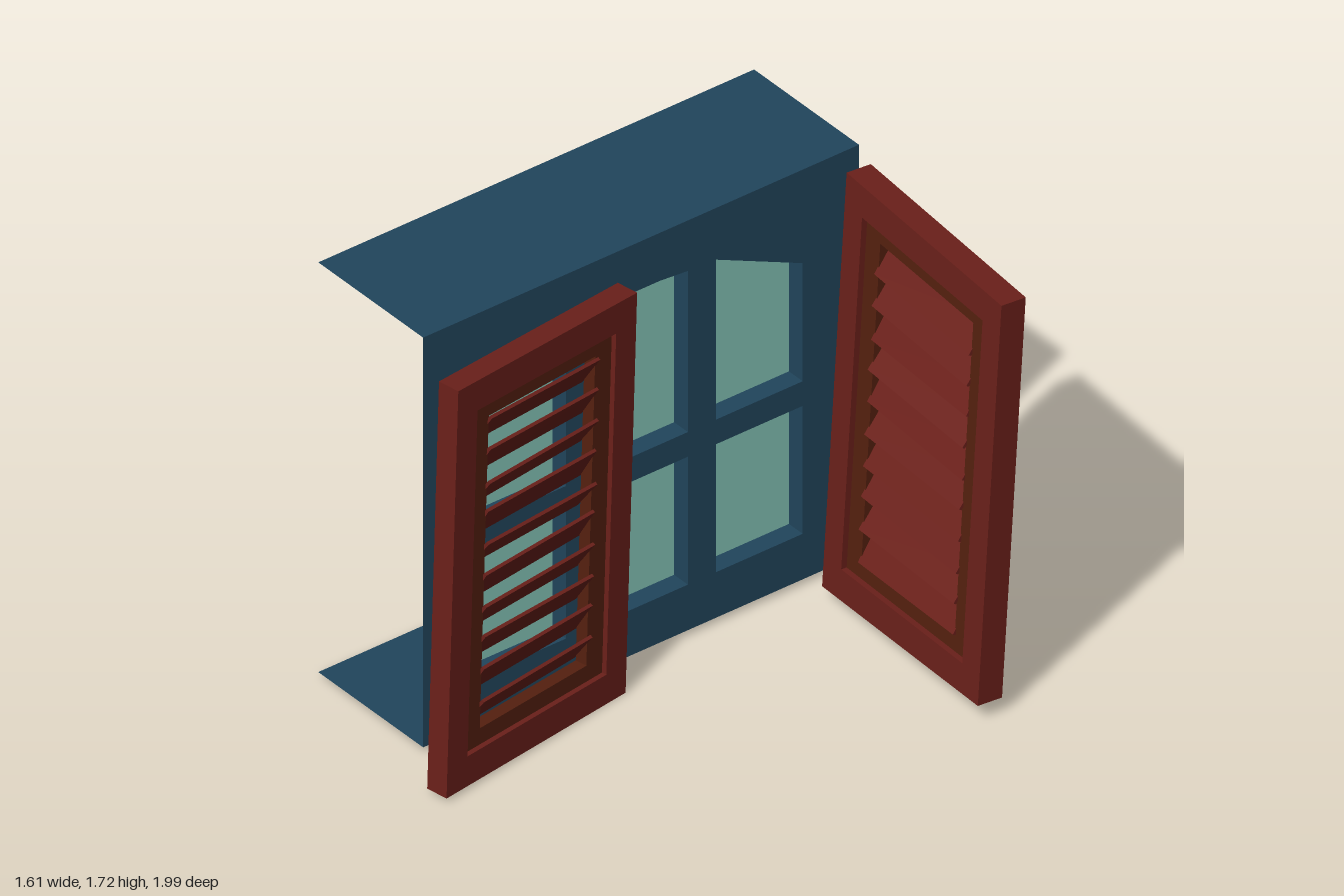
import * as THREE from 'three';

const paint = (color) => new THREE.MeshStandardMaterial({ color, side: THREE.DoubleSide });
const BLUE = paint(0x21455c), GLASS = paint(0x86c6b8), RED = paint(0x6b201a), BROWN = paint(0x55200f);
RED.flatShading = BROWN.flatShading = true;

const add = (parent, name, geometry, material) => {
  const mesh = new THREE.Mesh(geometry, material);
  mesh.name = name;
  parent.add(mesh);
  return mesh;
};

const outline = (points) => points.map(([x, y]) => new THREE.Vector2(x, y));
const rect = (w, h) => outline([[-w / 2, -h / 2], [w / 2, -h / 2], [w / 2, h / 2], [-w / 2, h / 2]]);

// Open band running round an outline, from z = 0 back to z = -depth
function band(points, depth) {
  const pos = [];
  points.forEach((a, i) => {
    const b = points[(i + 1) % points.length];
    pos.push(a.x, a.y, 0, b.x, b.y, -depth, b.x, b.y, 0, a.x, a.y, 0, a.x, a.y, -depth, b.x, b.y, -depth);
  });
  const g = new THREE.BufferGeometry();
  g.setAttribute('position', new THREE.Float32BufferAttribute(pos, 3));
  g.computeVertexNormals();
  return g;
}

// Window wall, drawn in its own plane and turned to face +x (local x runs along -z)
function buildWindow() {
  const win = new THREE.Group();
  win.name = 'window';
  const left = -0.86, right = 1, bottom = 0.035, top = 1.7, reveal = 0.075, mid = 0.07;
  const panes = [];
  // Lower row of plain panes
  for (const [a, b] of [[-0.55, -0.18], [-0.2, 0.2], [0.32, 0.69]]) {
    const [x0, x1] = a === -0.55 ? [-0.69, -0.32] : [a, b];
    panes.push(outline([[mid + x0, 0.22], [mid + x1, 0.22], [mid + x1, 0.74], [mid + x0, 0.74]]));
  }
  // Upper row: outer panes with sloping heads, middle pane slightly arched
  for (const s of [-1, 1]) {
    panes.push(outline([[mid + s * 0.32, 0.84], [mid + s * 0.69, 0.84], [mid + s * 0.69, 1.32], [mid + s * 0.32, 1.49]]));
  }
  panes.push(outline([[mid - 0.2, 0.84], [mid + 0.2, 0.84], [mid + 0.2, 1.495], [mid + 0.08, 1.505], [mid - 0.08, 1.505], [mid - 0.2, 1.495]]));

  const wall = new THREE.Shape(outline([[left, bottom], [right, bottom], [right, top], [left, top]]));
  panes.forEach((p) => wall.holes.push(new THREE.Path(p)));
  add(win, 'wall', new THREE.ShapeGeometry(wall), BLUE);
  for (const p of panes) {
    add(win, 'paneReveal', band(p, reveal), BLUE);
    add(win, 'glass', new THREE.ShapeGeometry(new THREE.Shape(p)), GLASS).position.z = -reveal;
  }
  // Thin sheets running back from the head and the sill
  for (const [name, y] of [['topSheet', top], ['bottomSheet', bottom]]) {
    const sheet = new THREE.PlaneGeometry(right - left, 0.57).rotateX(-Math.PI / 2);
    add(win, name, sheet, BLUE).position.set(mid, y, -0.285);
  }
  win.rotation.y = Math.PI / 2;
  win.position.x = -0.23;
  return win;
}

// Rectangular frame with a centred opening
function ring(w, h, innerW, innerH, depth) {
  const shape = new THREE.Shape(rect(w, h));
  shape.holes.push(new THREE.Path(rect(innerW, innerH)));
  return new THREE.ExtrudeGeometry(shape, { depth, bevelEnabled: false }).translate(0, 0, -depth / 2);
}

// Louvred shutter: local x runs from hinge side to free side, taper makes one side taller
function buildShutter(name, w, h, depth, taper, seed) {
  const shutter = new THREE.Group();
  shutter.name = name;
  const skew = (g) => {
    const p = g.attributes.position;
    for (let i = 0; i < p.count; i++) p.setY(i, p.getY(i) * (1 + taper * p.getX(i)));
    g.computeVertexNormals();
    return g;
  };
  add(shutter, 'outerFrame', skew(ring(w, h, w - 0.2, h - 0.24, depth)), RED);
  add(shutter, 'innerFrame', skew(ring(w - 0.19, h - 0.23, w - 0.36, h - 0.37, depth * 0.55)), BROWN);
  // Tilted slats, each slightly crooked
  const count = 10, span = h - 0.37, pitch = span / count;
  for (let i = 0; i < count; i++) {
    const wobble = Math.sin(i * 2.7 + seed);
    const slat = new THREE.BoxGeometry(w - 0.35, 0.143, 0.012)
      .rotateX(-0.55 + 0.06 * wobble)
      .rotateZ(0.014 * Math.sin(i * 1.9 + seed))
      .translate(0, -span / 2 + pitch * (i + 0.5), 0);
    add(shutter, 'slat', skew(slat), RED);
  }
  shutter.rotation.order = 'YXZ';
  return shutter;
}

export function createModel() {
  const model = new THREE.Group();
  model.name = 'shutteredWindow';
  model.add(buildWindow());

  // Shutter at the back end, swung wide open
  const back = buildShutter('backShutter', 0.9, 1.637, 0.1, -0.037, 1);
  back.position.set(0.347, 0.89, -0.825);
  back.rotation.set(-0.05, -0.047, -0.015);
  model.add(back);

  // Shutter at the front end, standing almost parallel to the wall
  const front = buildShutter('frontShutter', 0.89, 1.612, 0.088, 0.02, 4);
  front.position.set(-0.07, 0.825, 0.52);
  front.rotation.set(0, -1.407, 0.036);
  model.add(front);
  return model;
}
